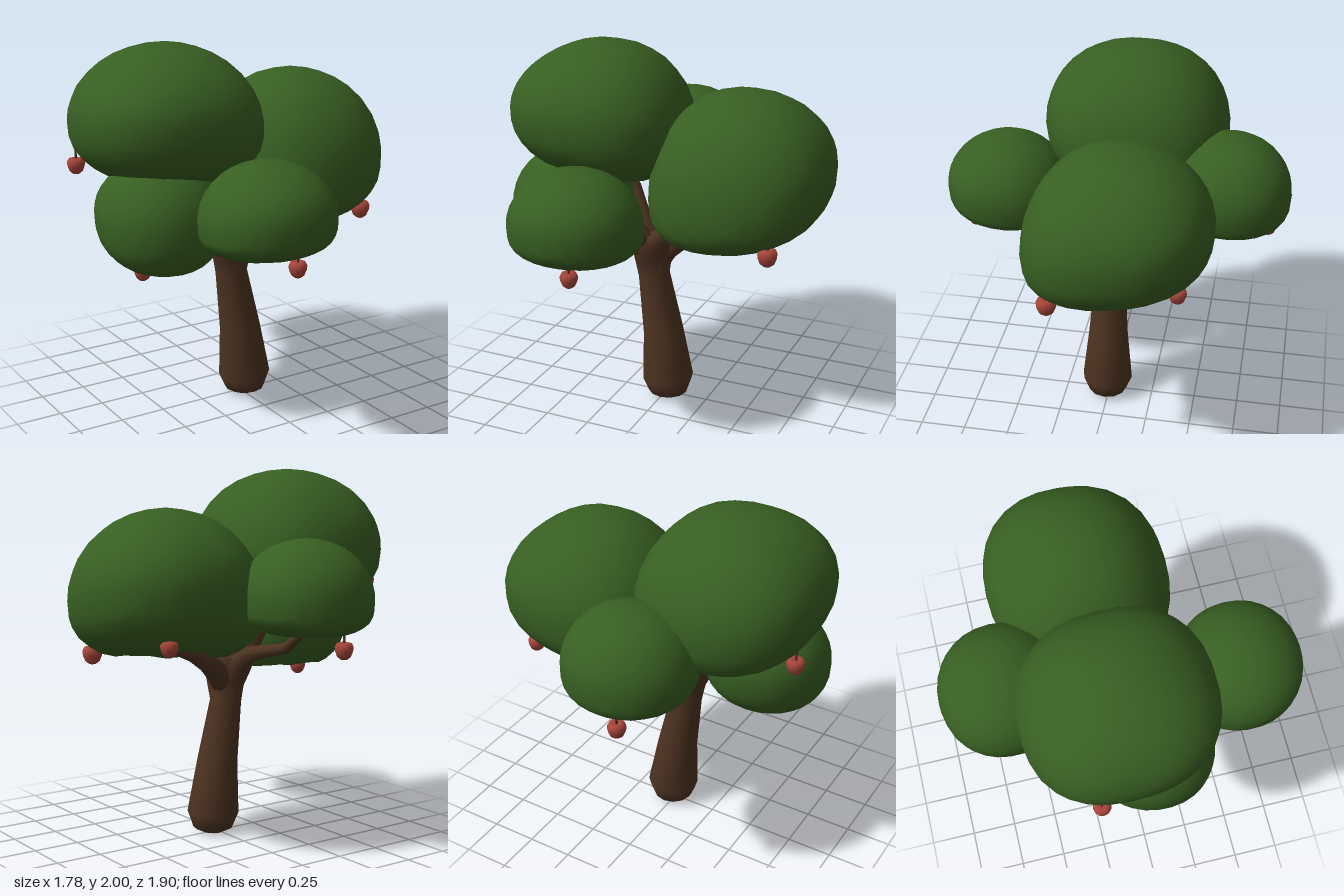
import * as THREE from 'three';
import { mergeVertices } from 'three/addons/utils/BufferGeometryUtils.js';

const flat = (name, color) => {
  const m = new THREE.MeshStandardMaterial({ color });
  m.name = name;
  return m;
};

// Swept limb: each point is [x, y, z, radius]
function limbGeometry(points, sides = 10) {
  const centres = points.map(p => new THREE.Vector3(p[0], p[1], p[2]));
  const up = new THREE.Vector3(0, 1, 0);
  const pos = [], index = [];
  points.forEach((p, i) => {
    const a = centres[Math.max(i - 1, 0)];
    const b = centres[Math.min(i + 1, points.length - 1)];
    const q = new THREE.Quaternion().setFromUnitVectors(up, b.clone().sub(a).normalize());
    for (let s = 0; s < sides; s++) {
      const t = (s / sides) * Math.PI * 2;
      const v = new THREE.Vector3(Math.cos(t) * p[3], 0, Math.sin(t) * p[3]);
      v.applyQuaternion(q).add(centres[i]);
      pos.push(v.x, v.y, v.z);
      if (i < points.length - 1) {
        const l = i * sides + s, n = i * sides + (s + 1) % sides;
        index.push(l, l + sides, n, n, l + sides, n + sides);
      }
    }
  });
  // End caps
  const last = (points.length - 1) * sides;
  for (let s = 1; s < sides - 1; s++) {
    index.push(0, s, s + 1, last, last + s + 1, last + s);
  }
  const g = new THREE.BufferGeometry();
  g.setAttribute('position', new THREE.Float32BufferAttribute(pos, 3));
  g.setIndex(index);
  g.computeVertexNormals();
  return g;
}

// Leaf clump: round dome over a fuller underside (smaller full = squarer)
// with a hollow in its middle; power above 2 squares off the plan outline
function clumpGeometry({ radius: [rx, rz], rise, drop, tilt: [tx, tz], power, full, hollow }) {
  let g = new THREE.IcosahedronGeometry(1, 5);
  g.deleteAttribute('normal');
  g.deleteAttribute('uv');
  g = mergeVertices(g, 1e-4);
  const pos = g.attributes.position;
  const n = new THREE.Vector3();
  for (let i = 0; i < pos.count; i++) {
    n.fromBufferAttribute(pos, i).normalize();
    const flatLen = Math.hypot(n.x, n.z);
    const h = flatLen < 1e-6 ? 1
      : (Math.abs(n.x) ** power + Math.abs(n.z) ** power) ** (1 / power) / flatLen;
    const x = n.x / h * rx, z = n.z / h * rz;
    const dent = hollow * THREE.MathUtils.smoothstep(-n.y, 0.78, 1);
    let y = n.y > 0 ? n.y * rise : -((-n.y) ** full - dent) * drop;
    y += (x * tx + z * tz) * (1 - Math.max(0, n.y));
    pos.setXYZ(i, x, y, z);
  }
  g.computeVertexNormals();
  return g;
}

export function createModel() {
  const tree = new THREE.Group();
  tree.name = 'appleTree';
  const leaf = flat('leaf green', 0x385f22);
  const bark = flat('bark brown', 0x4d3320);
  const red = flat('apple red', 0xa8463a);

  const add = (parent, name, geometry, material, at = [0, 0, 0]) => {
    const mesh = new THREE.Mesh(geometry, material);
    mesh.name = name;
    mesh.position.set(...at);
    parent.add(mesh);
    return mesh;
  };

  // Leaning trunk, flared where the branches start
  add(tree, 'trunk', limbGeometry([
    [0.02, 0, 0.01, 0.06], [0.02, 0.025, 0.01, 0.11], [0.02, 0.11, 0.01, 0.143],
    [-0.01, 0.4, 0.01, 0.112], [-0.065, 0.73, 0.01, 0.087],
    [-0.068, 0.86, 0.015, 0.108], [-0.085, 0.95, 0.03, 0.135], [-0.09, 0.98, 0.03, 0.1],
  ], 12), bark);

  // Branches reaching into each clump
  const branches = {
    leftBranch: [[-0.07, 0.76, 0.01, 0.06], [0.0, 0.89, -0.02, 0.07], [0.12, 0.97, -0.07, 0.052],
      [0.25, 1.03, -0.13, 0.04], [0.37, 1.08, -0.09, 0.032], [0.44, 1.14, -0.07, 0.02]],
    backBranch: [[-0.07, 0.76, 0.01, 0.06], [-0.08, 0.9, -0.04, 0.08], [-0.1, 1.0, -0.14, 0.048],
      [-0.11, 1.03, -0.26, 0.037], [-0.12, 1.07, -0.45, 0.03], [-0.13, 1.2, -0.63, 0.018]],
    upperBranch: [[-0.07, 0.76, 0, 0.06], [-0.11, 0.92, -0.02, 0.085], [-0.18, 1.04, -0.06, 0.055],
      [-0.24, 1.18, -0.11, 0.04], [-0.35, 1.4, -0.1, 0.025]],
    rightBranch: [[-0.07, 0.76, 0.01, 0.06], [-0.13, 0.93, 0.03, 0.08], [-0.2, 1.03, 0.05, 0.05],
      [-0.36, 1.12, 0.07, 0.03]],
    frontBranch: [[-0.07, 0.76, 0.01, 0.06], [-0.09, 0.91, 0.05, 0.085], [-0.13, 1.0, 0.16, 0.048],
      [-0.18, 1.05, 0.33, 0.035], [-0.2, 1.12, 0.46, 0.022]],
  };
  for (const [name, points] of Object.entries(branches)) add(tree, name, limbGeometry(points), bark);

  // Foliage clumps
  const clumps = [
    { name: 'upperClump', at: [-0.405, 1.57, -0.09], radius: [0.487, 0.5], rise: 0.43, drop: 0.34,
      tilt: [-0.1, 0.1], power: 2.4, full: 0.8, hollow: 0.25 },
    { name: 'leftClump', at: [0.4, 1.31, -0.11], radius: [0.49, 0.49], rise: 0.49, drop: 0.33,
      tilt: [0.12, -0.15], power: 2.3, full: 0.7, hollow: 0.4 },
    { name: 'rightClump', at: [-0.53, 1.14, 0.06], radius: [0.33, 0.34], rise: 0.29, drop: 0.3,
      tilt: [0, -0.13], power: 2.1, full: 0.75, hollow: 0.25 },
    { name: 'backClump', at: [-0.115, 1.35, -0.62], radius: [0.345, 0.335], rise: 0.3, drop: 0.2,
      tilt: [0, 0.04], power: 2.1, full: 0.55, hollow: 0.25 },
    { name: 'frontClump', at: [-0.225, 1.21, 0.615], radius: [0.345, 0.335], rise: 0.29, drop: 0.2,
      tilt: [0, 0.06], power: 2.1, full: 0.55, hollow: 0.25 },
  ];
  for (const c of clumps) add(tree, c.name, clumpGeometry(c), leaf, c.at);

  // Hanging apples with short stems: [x, y, z, radius]
  const profile = [[0, -0.85], [0.35, -0.95], [0.72, -0.66], [0.95, -0.1],
    [1, 0.35], [0.82, 0.75], [0.45, 0.86], [0, 0.62]].map(p => new THREE.Vector2(...p));
  const fruit = new THREE.LatheGeometry(profile, 12);
  const stem = new THREE.CylinderGeometry(0.13, 0.13, 1.2, 6);
  const spots = [
    [-0.84, 1.37, -0.27, 0.047], [-0.66, 0.86, 0.11, 0.046], [-0.17, 0.99, 0.8, 0.046],
    [0.66, 1.025, 0.21, 0.053], [0.6, 1.125, -0.445, 0.046], [-0.175, 1.1, -0.845, 0.048],
  ];
  spots.forEach(([x, y, z, r], i) => {
    const apple = new THREE.Group();
    apple.name = `apple${i + 1}`;
    apple.position.set(x, y, z);
    apple.scale.setScalar(r);
    add(apple, 'fruit', fruit, red);
    add(apple, 'stem', stem, bark, [0, 1.2, 0]);
    tree.add(apple);
  });

  return tree;
}
